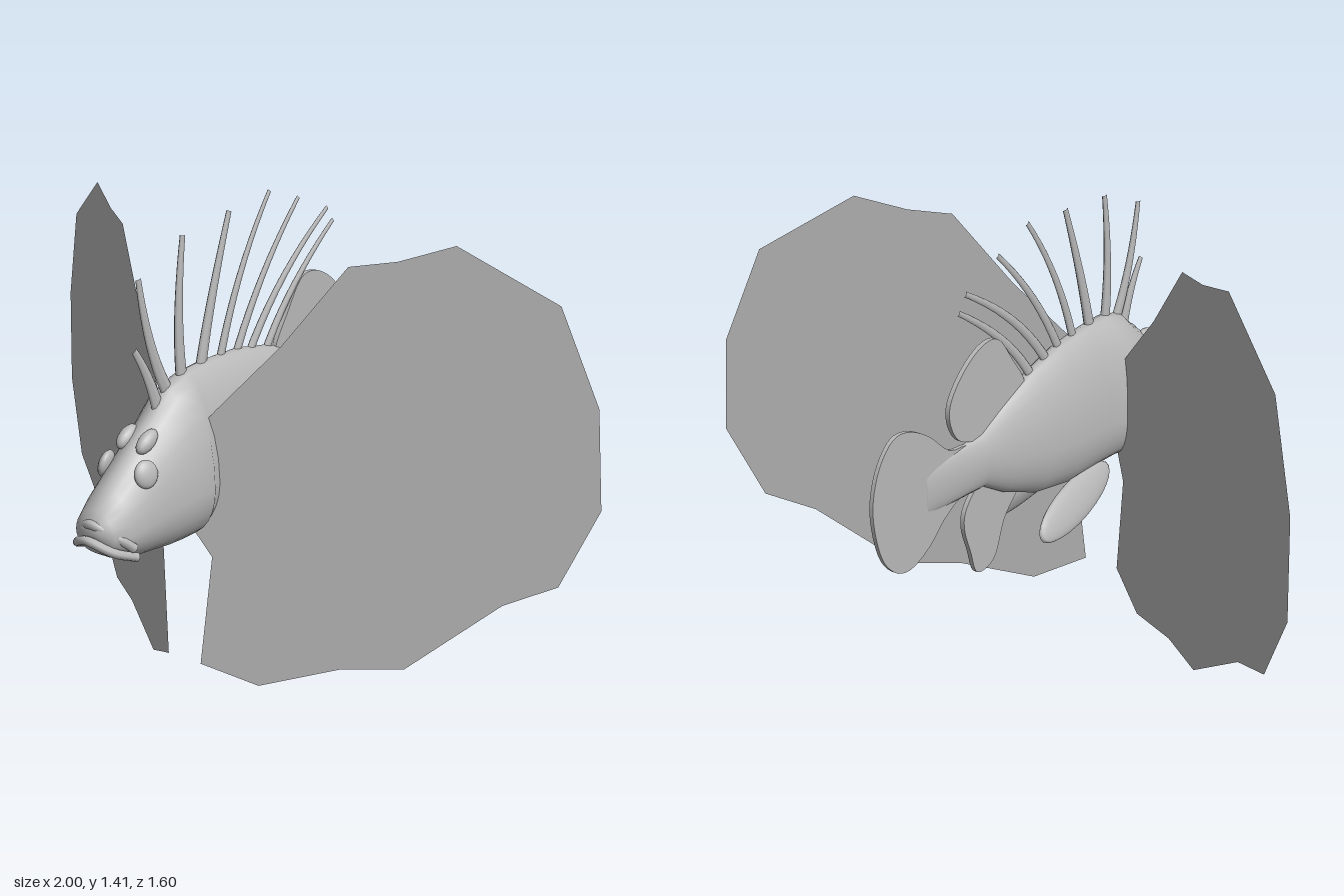
import * as THREE from 'three';

const skin = new THREE.MeshStandardMaterial({ color: 0xb8b8b8 });
skin.name = 'grey skin';
const finSkin = new THREE.MeshStandardMaterial({ color: 0xb8b8b8, side: THREE.DoubleSide });
finSkin.name = 'grey fin skin';

// Closed skin over rings that run from nose to tail
function loft(sections, sides) {
  const pos = [], index = [];
  for (const [z, bottom, wide, top, w] of sections) {
    for (let j = 0; j < sides; j++) {
      const t = (j / sides) * Math.PI * 2, c = Math.cos(t), s = Math.sin(t);
      const x = w * Math.sign(c) * Math.pow(Math.abs(c), s > 0 ? 1.2 : 0.9);
      pos.push(x, wide + s * (s > 0 ? top - wide : wide - bottom), z);
    }
  }
  const rows = sections.length;
  for (let i = 0; i < rows - 1; i++) {
    for (let j = 0; j < sides; j++) {
      const k = (j + 1) % sides;
      const a = i * sides + j, b = i * sides + k, c = a + sides, d = b + sides;
      index.push(a, c, b, b, c, d);
    }
  }
  const first = sections[0], last = sections[rows - 1];
  pos.push(0, first[2], first[0], 0, last[2], last[0]);
  const f = rows * sides, r = f - sides;
  for (let j = 0; j < sides; j++) {
    const k = (j + 1) % sides;
    index.push(f, j, k, f + 1, r + k, r + j);
  }
  const geo = new THREE.BufferGeometry();
  geo.setAttribute('position', new THREE.Float32BufferAttribute(pos, 3));
  geo.setIndex(index);
  geo.computeVertexNormals();
  return geo;
}

// Thin upright fin from [z, y] outline points
function midFin(points, depth) {
  const curve = new THREE.CatmullRomCurve3(
    points.map(([z, y]) => new THREE.Vector3(-z, y, 0)), true, 'centripetal');
  const shape = new THREE.Shape(curve.getPoints(60).slice(0, -1).map(p => new THREE.Vector2(p.x, p.y)));
  const geo = new THREE.ExtrudeGeometry(shape, { depth, bevelEnabled: false });
  geo.translate(0, 0, -depth / 2);
  geo.rotateY(Math.PI / 2);
  return geo;
}

// Tapered, sideways-flattened spine along a bent path in the middle plane
function spine([z0, y0], [z1, y1], [z2, y2], r0, r1) {
  const path = new THREE.QuadraticBezierCurve3(
    new THREE.Vector3(0, y0, z0), new THREE.Vector3(0, y1, z1), new THREE.Vector3(0, y2, z2));
  const rows = 10, sides = 8;
  const geo = new THREE.TubeGeometry(path, rows, 1, sides, false);
  const pos = geo.attributes.position, v = new THREE.Vector3();
  for (let i = 0; i <= rows; i++) {
    const c = path.getPointAt(i / rows), r = r0 + (r1 - r0) * (i / rows);
    for (let j = 0; j <= sides; j++) {
      const n = i * (sides + 1) + j;
      v.fromBufferAttribute(pos, n).sub(c).multiplyScalar(r);
      pos.setXYZ(n, v.x * 0.45, v.y + c.y, v.z + c.z);
    }
  }
  geo.computeVertexNormals();
  return geo;
}

export function createModel() {
  const model = new THREE.Group();
  const add = (name, geo, mat = skin) => {
    const mesh = new THREE.Mesh(geo, mat);
    mesh.name = name;
    model.add(mesh);
    return mesh;
  };

  // Head, gill covers, trunk and tail stalk: z, bottom, widest, top, half width
  add('body', loft([
    [0.772, 0.6, 0.62, 0.645, 0.035],
    [0.75, 0.555, 0.61, 0.685, 0.07],
    [0.7, 0.525, 0.605, 0.735, 0.088],
    [0.62, 0.505, 0.62, 0.8, 0.098],
    [0.56, 0.498, 0.63, 0.85, 0.105],
    [0.5, 0.49, 0.64, 0.895, 0.115],
    [0.44, 0.487, 0.65, 0.95, 0.125],
    [0.38, 0.488, 0.65, 0.97, 0.13],
    [0.35, 0.49, 0.65, 0.977, 0.112],
    [0.25, 0.495, 0.66, 0.982, 0.1],
    [0.1, 0.505, 0.68, 0.975, 0.1],
    [-0.05, 0.54, 0.7, 0.945, 0.085],
    [-0.2, 0.61, 0.73, 0.89, 0.055],
    [-0.3, 0.675, 0.76, 0.848, 0.038],
    [-0.42, 0.685, 0.765, 0.845, 0.022],
    [-0.56, 0.7, 0.77, 0.84, 0.009],
  ], 28));

  // Lips
  const lip = (name, y0, y1, z0, z1, r) => {
    const curve = new THREE.CatmullRomCurve3([
      [-0.088, y0, z0], [-0.065, (y0 + y1) / 2, z1 - 0.035], [0, y1, z1],
      [0.065, (y0 + y1) / 2, z1 - 0.035], [0.088, y0, z0],
    ].map(p => new THREE.Vector3(...p)));
    add(name, new THREE.TubeGeometry(curve, 24, r, 8));
  };
  lip('lowerLip', 0.54, 0.605, 0.68, 0.787, 0.013);
  lip('upperLip', 0.57, 0.645, 0.69, 0.765, 0.014);

  // Tail, soft back fin and anal fin
  add('tailFin', midFin([
    [-0.35, 0.83], [-0.45, 0.86], [-0.55, 0.95], [-0.64, 1.0], [-0.7, 1.003], [-0.76, 0.95],
    [-0.795, 0.86], [-0.795, 0.77], [-0.76, 0.65], [-0.7, 0.585], [-0.64, 0.57], [-0.555, 0.6],
    [-0.49, 0.65], [-0.425, 0.683], [-0.35, 0.7]], 0.012));
  add('softDorsalFin', midFin([
    [-0.08, 0.9], [-0.15, 1.03], [-0.22, 1.115], [-0.29, 1.12], [-0.38, 1.075], [-0.445, 1.0],
    [-0.447, 0.94], [-0.41, 0.875], [-0.35, 0.845], [-0.2, 0.82]], 0.014));
  add('analFin', midFin([
    [-0.1, 0.62], [-0.19, 0.52], [-0.25, 0.405], [-0.33, 0.4], [-0.365, 0.49], [-0.392, 0.58],
    [-0.385, 0.63], [-0.32, 0.69], [-0.2, 0.7]], 0.014));

  // Back spines: base, bend, tip
  [
    [[0.47, 0.89], [0.51, 1.01], [0.57, 1.09]],
    [[0.42, 0.92], [0.51, 1.06], [0.545, 1.285]],
    [[0.36, 0.93], [0.39, 1.12], [0.35, 1.365]],
    [[0.28, 0.94], [0.24, 1.12], [0.137, 1.39]],
    [[0.19, 0.94], [0.11, 1.2], [-0.058, 1.41]],
    [[0.12, 0.93], [0.0, 1.17], [-0.205, 1.362]],
    [[0.05, 0.93], [-0.09, 1.14], [-0.358, 1.3]],
    [[-0.03, 0.91], [-0.14, 1.09], [-0.39, 1.255]],
  ].forEach(([a, b, c], i) =>
    add('dorsalSpine' + (i + 1), spine(a, b, c, i < 4 ? 0.024 : 0.018, i < 4 ? 0.011 : 0.008)));

  for (const s of [1, -1]) {
    const side = s > 0 ? 'left' : 'right';

    // Large fan fin, swept back from behind the gill cover
    const outline = [
      [0.04, 0.52], [0.09, 0.42], [0.06, 0.075], [0.2, 0.003], [0.4, 0.06], [0.55, 0.06],
      [0.78, 0.27], [0.91, 0.33], [1.0, 0.57], [0.98, 0.88], [0.88, 1.18], [0.64, 1.35],
      [0.51, 1.305], [0.4, 1.29], [0.25, 1.06], [0.1, 0.87], [0.05, 0.8]];
    const fan = new THREE.ShapeGeometry(
      new THREE.Shape(outline.map(([x, y]) => new THREE.Vector2(x * s, y))));
    const p = fan.attributes.position;
    for (let i = 0; i < p.count; i++) p.setZ(i, 0.41 - 0.705 * Math.abs(p.getX(i)));
    fan.computeVertexNormals();
    add(side + 'PectoralFin', fan, finSkin);

    // Fleshy belly fin
    const pelvic = add(side + 'PelvicFin', new THREE.SphereGeometry(1, 20, 14));
    pelvic.scale.set(0.02, 0.065, 0.22);
    pelvic.position.set(0.085 * s, 0.475, 0.075);
    pelvic.rotation.set(-0.1, -0.08 * s, 0.4 * s);

    // Eye and brow bump
    const eye = add(side + 'Eye', new THREE.SphereGeometry(1, 20, 14));
    eye.scale.set(0.018, 0.04, 0.038);
    eye.position.set(0.071 * s, 0.76, 0.615);
    eye.rotation.set(0, -0.25 * s, 0.25 * s);
    const brow = add(side + 'Brow', new THREE.SphereGeometry(1, 14, 10));
    brow.scale.set(0.022, 0.025, 0.045);
    brow.position.set(0.035 * s, 0.832, 0.565);
    brow.rotation.x = 0.5;
  }
  return model;
}
